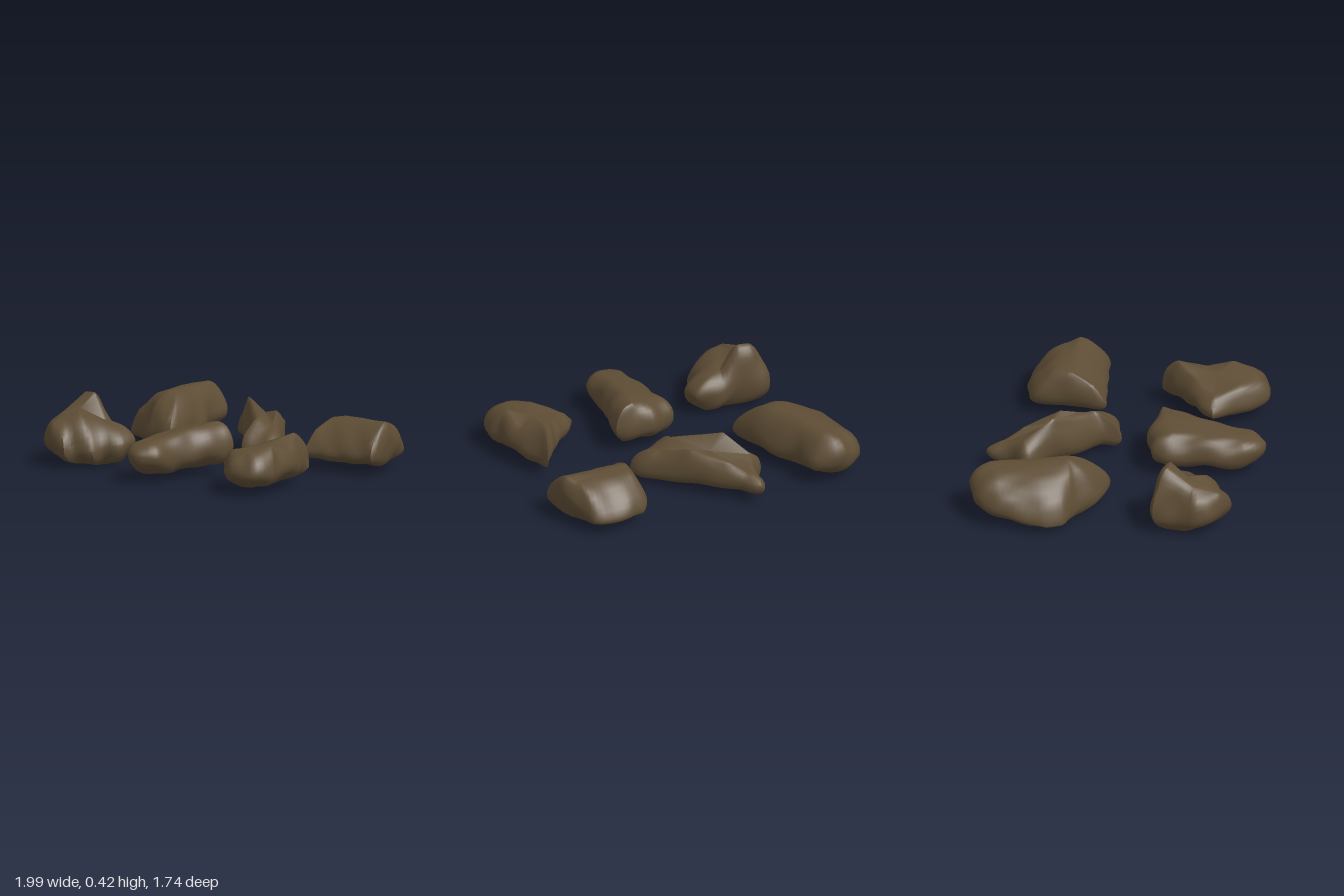
import * as THREE from 'three';
import { toCreasedNormals } from 'three/addons/utils/BufferGeometryUtils.js';

const SIDES = 64, RINGS = 8;

// Each rock: widest outline [x, z, y], a crown polygon on top and a base line below [x, y, z],
// and the roundness of top and bottom (1 is elliptical, below is boxy, above is pointed)
const ROCKS = {
  backRightRock: {
    outline: [[-0.86, -0.84, 0.2], [-0.77, -0.87, 0.22], [-0.68, -0.85, 0.2], [-0.59, -0.78, 0.18], [-0.57, -0.6, 0.16],
      [-0.51, -0.47, 0.15], [-0.48, -0.3, 0.15], [-0.45, -0.1, 0.14], [-0.46, -0.04, 0.12], [-0.56, -0.05, 0.11],
      [-0.68, -0.1, 0.11], [-0.78, -0.2, 0.1], [-0.94, -0.26, 0.07], [-1, -0.37, 0.07], [-0.99, -0.5, 0.1], [-0.97, -0.68, 0.14], [-0.93, -0.79, 0.17]],
    crown: [[-0.79, 0.33, -0.7], [-0.71, 0.345, -0.73], [-0.61, 0.355, -0.3], [-0.65, 0.36, -0.28]],
    base: [[-0.77, 0.06, -0.7], [-0.78, 0.02, -0.34]], top: 1.25, bottom: 0.9,
  },
  backMiddleRock: {
    outline: [[-0.2, -0.84, 0.14], [-0.16, -0.82, 0.14], [-0.1, -0.73, 0.15], [0.03, -0.58, 0.16], [0.18, -0.36, 0.14],
      [0.31, -0.2, 0.1], [0.3, -0.09, 0.09], [0.18, -0.06, 0.1], [0.1, -0.05, 0.1], [0.08, -0.15, 0.14],
      [-0.05, -0.28, 0.16], [-0.2, -0.43, 0.16], [-0.33, -0.55, 0.11], [-0.33, -0.6, 0.12], [-0.25, -0.69, 0.13], [-0.24, -0.79, 0.13]],
    crown: [[-0.25, 0.25, -0.6], [-0.15, 0.355, -0.44], [0.1, 0.29, -0.23], [0.18, 0.23, -0.25], [0.08, 0.29, -0.42], [-0.08, 0.25, -0.62], [-0.17, 0.2, -0.7]],
    base: [[-0.18, 0.06, -0.62], [0.18, 0.03, -0.18]], top: 1.15, bottom: 0.85,
  },
  backLeftRock: {
    outline: [[0.55, -0.67, 0.11], [0.66, -0.7, 0.11], [0.82, -0.69, 0.11], [0.89, -0.66, 0.12], [0.92, -0.58, 0.16],
      [0.98, -0.42, 0.22], [0.99, -0.3, 0.17], [0.97, -0.23, 0.13], [0.75, -0.21, 0.12], [0.55, -0.19, 0.12],
      [0.48, -0.2, 0.13], [0.48, -0.35, 0.18], [0.485, -0.53, 0.18], [0.5, -0.62, 0.14]],
    crown: [[0.53, 0.31, -0.42], [0.94, 0.33, -0.41], [0.9, 0.31, -0.48], [0.56, 0.31, -0.5]],
    base: [[0.58, 0.06, -0.44], [0.88, 0.06, -0.42]], top: 1.35, bottom: 0.8,
  },
  frontRightRock: {
    outline: [[-0.91, 0.28, 0.13], [-0.8, 0.27, 0.2], [-0.68, 0.3, 0.2], [-0.55, 0.29, 0.17], [-0.42, 0.34, 0.16],
      [-0.41, 0.48, 0.15], [-0.5, 0.54, 0.14], [-0.52, 0.64, 0.12], [-0.64, 0.69, 0.12], [-0.67, 0.74, 0.13],
      [-0.8, 0.72, 0.17], [-0.9, 0.64, 0.16], [-0.94, 0.55, 0.14], [-0.91, 0.43, 0.14]],
    crown: [[-0.79, 0.43, 0.36], [-0.72, 0.435, 0.37], [-0.62, 0.28, 0.4], [-0.71, 0.34, 0.55], [-0.8, 0.28, 0.67], [-0.83, 0.33, 0.52]],
    base: [[-0.77, 0.01, 0.42], [-0.6, 0.01, 0.45]], top: 1.2, bottom: 1,
  },
  frontMiddleRock: {
    outline: [[-0.1, 0.17, 0.18], [-0.01, 0.12, 0.16], [0.1, 0.16, 0.17], [0.24, 0.2, 0.18], [0.2, 0.34, 0.17],
      [0.14, 0.53, 0.16], [0.11, 0.7, 0.16], [0.1, 0.78, 0.17], [0.06, 0.84, 0.18], [0, 0.865, 0.19],
      [-0.08, 0.83, 0.18], [-0.14, 0.76, 0.17], [-0.17, 0.6, 0.15], [-0.18, 0.4, 0.15], [-0.2, 0.26, 0.15], [-0.17, 0.18, 0.16]],
    crown: [[-0.08, 0.29, 0.3], [0.12, 0.33, 0.21], [0.07, 0.31, 0.42], [0.01, 0.265, 0.74], [-0.07, 0.265, 0.7]],
    base: [[0, 0.05, 0.28], [-0.03, 0.05, 0.66]], top: 1.1, bottom: 0.95,
  },
  frontLeftRock: {
    outline: [[0.77, 0.11, 0.11], [0.79, 0.2, 0.16], [0.85, 0.31, 0.17], [0.87, 0.45, 0.16], [0.87, 0.57, 0.16],
      [0.9, 0.62, 0.15], [0.84, 0.77, 0.14], [0.67, 0.8, 0.14], [0.58, 0.73, 0.15], [0.5, 0.62, 0.15],
      [0.38, 0.48, 0.15], [0.5, 0.37, 0.17], [0.64, 0.26, 0.17], [0.74, 0.15, 0.15]],
    crown: [[0.73, 0.33, 0.23], [0.8, 0.26, 0.4], [0.8, 0.31, 0.55], [0.74, 0.28, 0.68], [0.6, 0.27, 0.62], [0.51, 0.24, 0.48], [0.62, 0.28, 0.35]],
    base: [[0.74, 0.06, 0.3], [0.7, 0.05, 0.62]], top: 1.15, bottom: 1,
  },
};

// Gentle lumps that break up the smooth surface
const lump = (p) =>
  0.008 * Math.sin(17 * p.x + 9 * p.y + 5 * p.z) * Math.cos(15 * p.z - 8 * p.x + 11 * p.y) +
  0.005 * Math.sin(31 * p.x - 23 * p.z + 19 * p.y);

// Nearest point, seen from above, on a closed loop of corners
function nearestOnLoop(corners, e) {
  const level = (v) => v.clone().setY(0);
  let best = null, bestDistance = Infinity;
  corners.forEach((a, i) => {
    const b = corners[(i + 1) % corners.length];
    const t = new THREE.Line3(level(a), level(b)).closestPointToPointParameter(level(e), true);
    const q = a.clone().lerp(b, t);
    const distance = level(q).distanceTo(level(e));
    if (distance < bestDistance) [best, bestDistance] = [q, distance];
  });
  return best;
}

// Surface running from the base out to the outline and up to the crown, closed at both middles
function rockGeometry({ outline, crown, base, top, bottom }) {
  const edge = new THREE.CatmullRomCurve3(outline.map(([x, z, y]) => new THREE.Vector3(x, y, z)), true, 'catmullrom', 0.25)
    .getSpacedPoints(SIDES).slice(0, SIDES);
  const positions = [], index = [];
  const ends = [base, crown].map((list) => {
    const corners = list.map((c) => new THREE.Vector3(...c));
    const middle = corners.reduce((sum, c) => sum.add(c), new THREE.Vector3()).divideScalar(corners.length);
    return { middle, targets: edge.map((e) => nearestOnLoop(corners, e)) };
  });
  const addMiddle = ({ middle }) => edge.forEach(() => positions.push(...middle));

  addMiddle(ends[0]);
  for (let r = -RINGS; r <= RINGS; r++) {
    const angle = Math.abs(r) / RINGS * Math.PI / 2;
    const power = r < 0 ? bottom : top;
    const spread = Math.abs(r) === RINGS ? 0 : Math.cos(angle) ** power;
    const rise = Math.sin(angle) ** power;
    edge.forEach((e, i) => {
      const target = ends[r < 0 ? 0 : 1].targets[i];
      const p = target.clone().lerp(e, spread);
      p.y = e.y + (target.y - e.y) * rise;
      const out = e.clone().sub(target).setY(0).normalize().multiplyScalar(spread);
      out.y = Math.sign(r) * rise;
      p.addScaledVector(out, lump(p) * Math.min(1, spread * 2));
      positions.push(p.x, p.y, p.z);
    });
  }
  addMiddle(ends[1]);

  for (let r = 0; r < 2 * RINGS + 2; r++) {
    for (let i = 0; i < SIDES; i++) {
      const j = (i + 1) % SIDES;
      const a = r * SIDES + i, b = r * SIDES + j, c = a + SIDES, d = b + SIDES;
      index.push(a, c, b, b, c, d);
    }
  }
  const geometry = new THREE.BufferGeometry();
  geometry.setAttribute('position', new THREE.Float32BufferAttribute(positions, 3));
  geometry.setIndex(index);
  return toCreasedNormals(geometry, 0.8);
}

export function createModel() {
  const group = new THREE.Group();
  group.name = 'rocks';
  const stone = new THREE.MeshStandardMaterial({ color: 0x5e4d35 });
  stone.name = 'brown stone';
  for (const [name, rock] of Object.entries(ROCKS)) {
    const mesh = new THREE.Mesh(rockGeometry(rock), stone);
    mesh.name = name;
    group.add(mesh);
  }
  return group;
}
